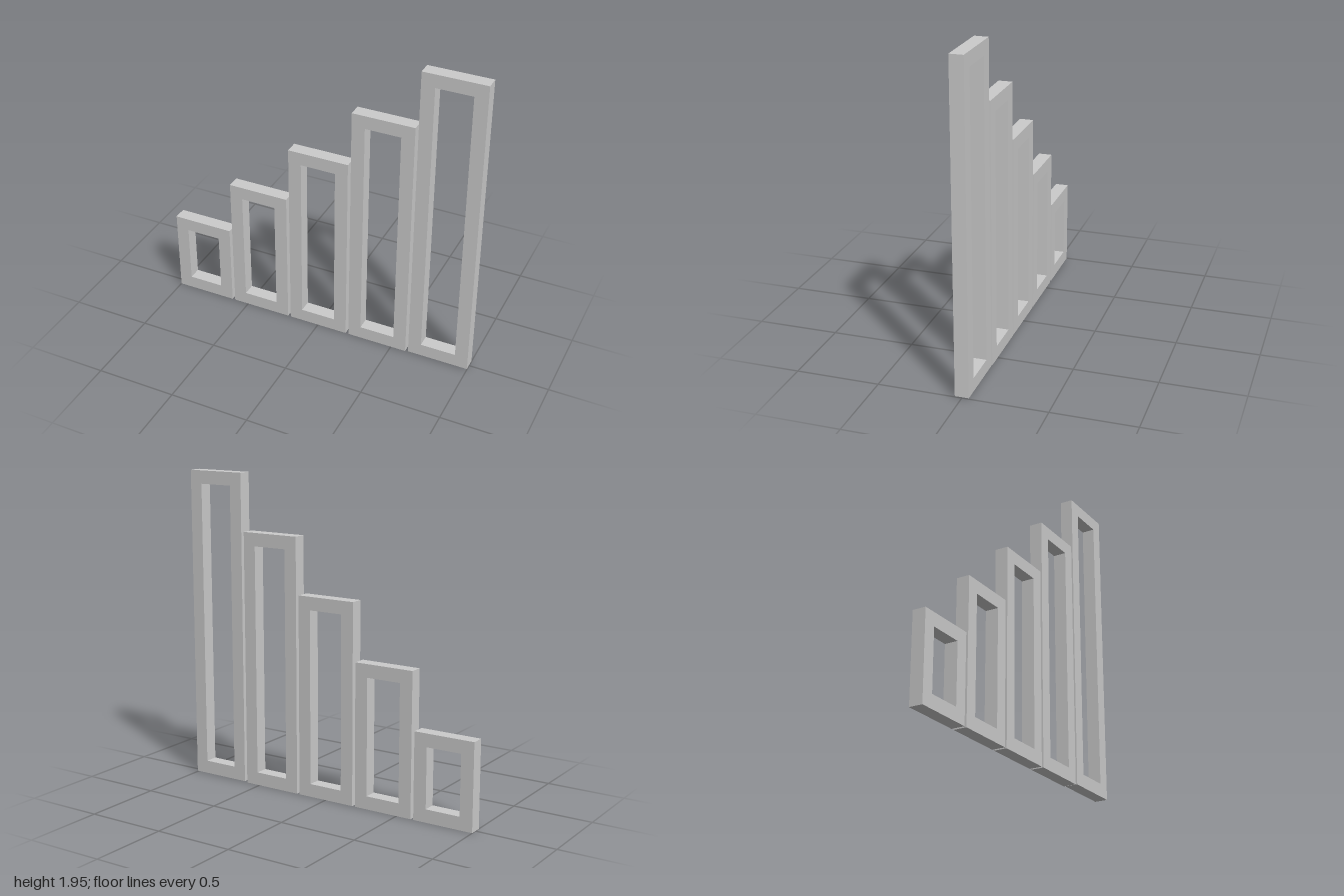
import * as THREE from 'three';

const WIDTH = 0.385, BORDER = 0.082, DEPTH = 0.082;

// Rectangular frame standing on y = 0, centred on x and z
function frameGeometry(height) {
  const w = WIDTH / 2, i = w - BORDER;
  const shape = new THREE.Shape([
    new THREE.Vector2(-w, 0), new THREE.Vector2(w, 0),
    new THREE.Vector2(w, height), new THREE.Vector2(-w, height),
  ]);
  shape.holes.push(new THREE.Path([
    new THREE.Vector2(-i, BORDER), new THREE.Vector2(-i, height - BORDER),
    new THREE.Vector2(i, height - BORDER), new THREE.Vector2(i, BORDER),
  ]));
  return new THREE.ExtrudeGeometry(shape, { depth: DEPTH, bevelEnabled: false })
    .translate(0, 0, -DEPTH / 2);
}

export function createModel() {
  const group = new THREE.Group();
  group.name = 'steppedFrames';
  const material = new THREE.MeshStandardMaterial({ color: 0xcccccc });

  // Five frames rising from right to left; the tallest sits a hair higher
  const heights = [0.538, 0.891, 1.247, 1.597, 1.948];
  const pitch = (2 - WIDTH) / (heights.length - 1);
  heights.forEach((height, n) => {
    const frame = new THREE.Mesh(frameGeometry(height), material);
    frame.name = `frame${n + 1}`;
    frame.position.set(-1 + WIDTH / 2 + n * pitch, n === 4 ? 0.005 : 0, 0);
    group.add(frame);
  });
  return group;
}
